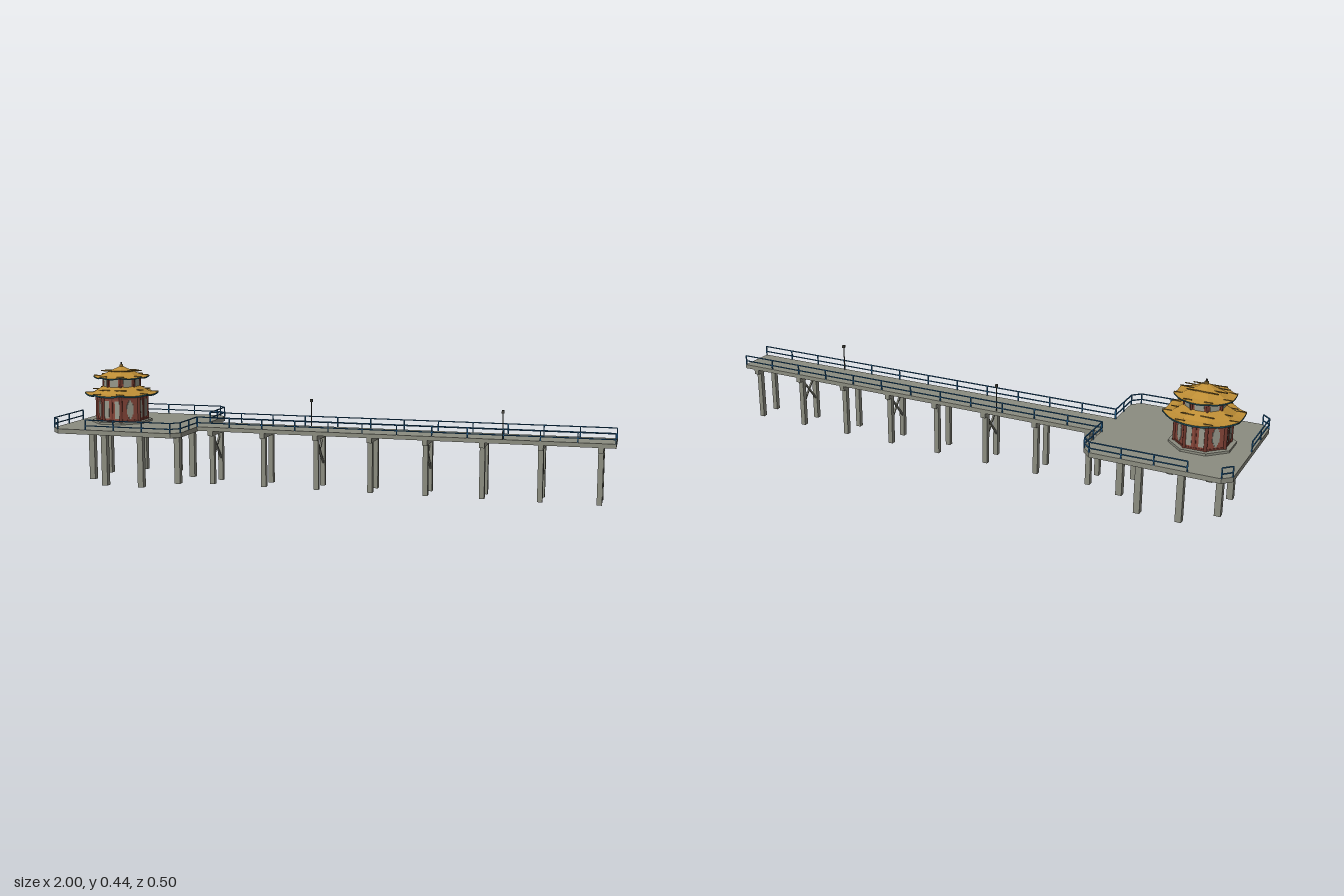
import * as THREE from 'three';

const mat = (name, color, side = THREE.FrontSide) => {
  const m = new THREE.MeshStandardMaterial({ color, side });
  m.name = name;
  return m;
};

export function createModel() {
  const concrete = mat('concrete', 0x8b8c80);
  const red = mat('red timber', 0x874639);
  const darkRed = mat('dark red columns', 0x6f372d);
  const gold = mat('golden tiles', 0xbd8d35);
  const ridgeMat = mat('ridge tiles', 0x87682c);
  const teal = mat('dark teal eaves', 0x1c4753);
  const blue = mat('blue railing', 0x245f8e);
  const glass = mat('grey windows', 0x97988b);
  const dark = mat('dark metal', 0x45443e);

  const model = new THREE.Group();
  const group = (name, parent = model) => {
    const g = new THREE.Group();
    g.name = name;
    parent.add(g);
    return g;
  };
  const add = (parent, name, geo, m, x = 0, y = 0, z = 0) => {
    const mesh = new THREE.Mesh(geo, m);
    mesh.name = name;
    mesh.position.set(x, y, z);
    parent.add(mesh);
    return mesh;
  };
  const box = (parent, name, m, w, h, d, x, y, z) =>
    add(parent, name, new THREE.BoxGeometry(w, h, d), m, x, y, z);
  // square bar between two points
  const bar = (parent, name, m, a, b, t) => {
    const A = new THREE.Vector3(...a), B = new THREE.Vector3(...b);
    const mesh = box(parent, name, m, t, t, A.distanceTo(B), 0, 0, 0);
    mesh.position.copy(A).lerp(B, 0.5);
    mesh.lookAt(B);
    return mesh;
  };

  // ---- platform with chamfered corners
  const platform = group('platform');
  const c = 0.03, h = 0.25, px = -0.75;
  const outline = [[-h, -h + c], [-h + c, -h], [h - c, -h], [h, -h + c],
    [h, h - c], [h - c, h], [-h + c, h], [-h, h - c]];
  const slab = new THREE.ExtrudeGeometry(
    new THREE.Shape(outline.map(p => new THREE.Vector2(...p))), { depth: 0.017, bevelEnabled: false });
  slab.rotateX(-Math.PI / 2);
  add(platform, 'platformSlab', slab, concrete, px, 0.198, 0);
  for (let k = 0; k < 8; k++) {
    const a = Math.PI / 8 + k * Math.PI / 4;
    box(platform, 'platformPile', concrete, 0.022, 0.198, 0.022,
      px + 0.187 * Math.cos(a), 0.099, 0.187 * Math.sin(a));
  }
  for (const s of [-1, 1])
    box(platform, 'platformBeam', concrete, 0.38, 0.02, 0.022, px, 0.188, s * 0.122);

  // ---- walkway on paired piles, every other bent cross-braced
  const walkway = group('walkway');
  box(walkway, 'walkwayDeck', concrete, 1.5, 0.015, 0.136, 0.25, 0.2075, 0);
  for (let i = 0; i < 8; i++) {
    const x = -0.45 + i * 0.2;
    box(walkway, 'pileCap', concrete, 0.018, 0.018, 0.136, x, 0.191, 0);
    for (const s of [-1, 1]) {
      box(walkway, 'walkwayPile', concrete, 0.018, 0.183, 0.018, x, 0.0915, s * 0.043);
      if (i % 2 === 0)
        bar(walkway, 'crossBrace', concrete, [x + s * 0.003, 0.085, -s * 0.036], [x + s * 0.003, 0.172, s * 0.036], 0.006);
    }
  }

  // ---- railings
  const railing = group('railing');
  const deckY = 0.215, topY = 0.251;
  const rail = (a, b, spans) => {
    for (const y of [0.23, topY])
      bar(railing, 'rail', blue, [a[0], y, a[1]], [b[0], y, b[1]], 0.0035);
    for (let i = 0; i <= spans; i++) {
      const t = i / spans;
      box(railing, 'railPost', blue, 0.004, topY - deckY + 0.001, 0.004,
        a[0] + (b[0] - a[0]) * t, (deckY + topY) / 2, a[1] + (b[1] - a[1]) * t);
    }
  };
  for (const s of [-1, 1]) {
    rail([-0.5, s * 0.065], [0.998, s * 0.065], 12);
    rail([-0.502, s * 0.065], [-0.502, s * 0.22], 2);
    rail([-0.502, s * 0.22], [-0.53, s * 0.248], 1);
    rail([-0.53, s * 0.248], [-0.86, s * 0.248], 3);
    rail([-0.97, s * 0.248], [-0.998, s * 0.22], 1);
  }
  rail([-0.998, 0.22], [-0.998, 0], 2);

  // ---- lamps on alternating sides
  for (const [x, z] of [[-0.1, -0.06], [0.62, 0.06]]) {
    const lamp = group('lamp');
    add(lamp, 'lampPost', new THREE.CylinderGeometry(0.002, 0.002, 0.095, 6), dark, x, 0.2625, z);
    box(lamp, 'lampHead', dark, 0.009, 0.01, 0.009, x, 0.31, z);
  }

  // ---- octagonal pavilion
  const pavilion = group('pavilion');
  pavilion.position.x = -0.832;
  const K = Math.cos(Math.PI / 8);
  const octagon = (name, m, apothem, y0, y1) => {
    const r = apothem / K;
    const g = new THREE.CylinderGeometry(r, r, y1 - y0, 8).toNonIndexed();
    g.rotateY(Math.PI / 8);
    g.computeVertexNormals();
    return add(pavilion, name, g, m, 0, (y0 + y1) / 2, 0);
  };
  octagon('plinth', concrete, 0.104, 0.215, 0.223);
  octagon('lowerWall', red, 0.086, 0.223, 0.318);
  octagon('upperWall', red, 0.063, 0.335, 0.385);

  // octagonal surface through rings of [apothem, height, corner lift]
  const roofSurface = (name, m, rings) => {
    const n = 4, pos = [];
    const point = ([a, y, lift], i) => {
      const k = Math.floor(i / n), t = (i % n) / n;
      const a0 = (k - 0.5) * Math.PI / 4, a1 = a0 + Math.PI / 4, r = a / K;
      return [r * (Math.sin(a0) * (1 - t) + Math.sin(a1) * t), y + lift * (2 * t - 1) ** 2,
        r * (Math.cos(a0) * (1 - t) + Math.cos(a1) * t)];
    };
    for (let j = 0; j + 1 < rings.length; j++)
      for (let i = 0; i < 8 * n; i++) {
        const p = point(rings[j], i), q = point(rings[j], i + 1);
        const s = point(rings[j + 1], i + 1), u = point(rings[j + 1], i);
        pos.push(...p, ...q, ...s, ...p, ...s, ...u);
      }
    const g = new THREE.BufferGeometry();
    g.setAttribute('position', new THREE.Float32BufferAttribute(pos, 3));
    g.computeVertexNormals();
    add(pavilion, name, g, m);
  };
  const roof = (name, rings, wall, thick) => {
    const [a, y, lift] = rings[0];
    roofSurface(name + 'Tiles', gold, rings);
    roofSurface(name + 'Eaves', teal, [[wall, y - thick, 0], [a, y - thick, lift], [a, y, lift]]);
    for (let k = 0; k < 8; k++) {
      const ang = (k + 0.5) * Math.PI / 4;
      const pts = rings.map(([ra, ry, rl]) => [ra / K * Math.sin(ang), ry + rl, ra / K * Math.cos(ang)]);
      for (let i = 0; i + 1 < pts.length; i++)
        bar(pavilion, name + 'Ridge', ridgeMat, pts[i], pts[i + 1], 0.003);
    }
  };
  roof('lowerRoof', [[0.127, 0.322, 0.006], [0.098, 0.327, 0.001], [0.062, 0.352, 0]], 0.08, 0.006);
  roof('upperRoof', [[0.096, 0.385, 0.005], [0.07, 0.391, 0.001], [0.006, 0.424, 0]], 0.058, 0.005);

  // walls: corner columns, beams and windows on each of the eight sides
  for (let k = 0; k < 8; k++) {
    const side = group('wallSide', pavilion);
    side.rotation.y = k * Math.PI / 4;
    const column = (r, a, y0, y1) => add(side, 'cornerColumn',
      new THREE.CylinderGeometry(r, r, y1 - y0, 8), darkRed, a * Math.tan(Math.PI / 8), (y0 + y1) / 2, a);
    column(0.006, 0.086, 0.223, 0.317);
    column(0.004, 0.063, 0.345, 0.382);
    box(side, 'wallBeam', darkRed, 0.07, 0.006, 0.004, 0, 0.311, 0.086);
    box(side, 'wallSill', darkRed, 0.07, 0.006, 0.004, 0, 0.226, 0.086);
    if (k % 2 === 0) {
      for (const s of [-1, 1])
        box(side, 'doorPanel', glass, 0.02, 0.066, 0.003, s * 0.022, 0.268, 0.0865);
      box(side, 'doorPost', darkRed, 0.006, 0.09, 0.004, 0, 0.268, 0.0865);
    } else {
      // stepped lattice window
      box(side, 'latticeWindow', glass, 0.026, 0.036, 0.003, 0, 0.268, 0.0865);
      box(side, 'latticeWindow', glass, 0.018, 0.054, 0.0028, 0, 0.268, 0.0865);
      box(side, 'latticeWindow', glass, 0.009, 0.07, 0.0026, 0, 0.268, 0.0865);
    }
    box(side, 'upperWindow', glass, 0.032, 0.028, 0.003, 0, 0.364, 0.0635);
  }

  // finial
  add(pavilion, 'finialBase', new THREE.CylinderGeometry(0.007, 0.008, 0.01, 8), ridgeMat, 0, 0.426, 0);
  add(pavilion, 'finialTip', new THREE.CylinderGeometry(0.003, 0.003, 0.01, 8), dark, 0, 0.434, 0);

  return model;
}
